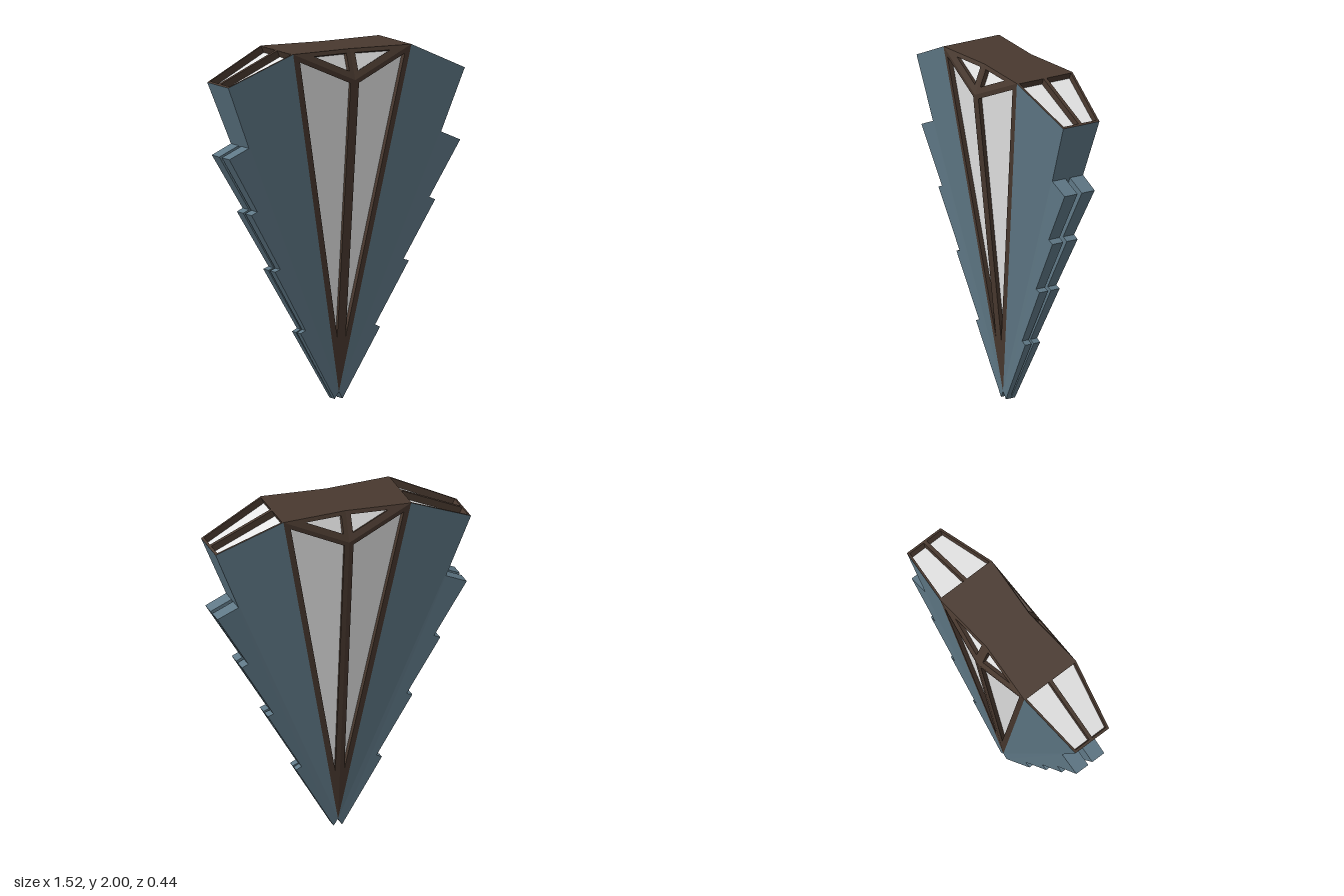
import * as THREE from 'three';

const V = (x, y, z) => new THREE.Vector3(x, y, z);
const frameMat = new THREE.MeshStandardMaterial({ color: 0x49392f });
const glassMat = new THREE.MeshStandardMaterial({ color: 0xe6e6e6 });
const shellMat = new THREE.MeshStandardMaterial({ color: 0x5f7886 });
frameMat.name = 'dark bronze';
glassMat.name = 'pale glass';
shellMat.name = 'slate blue';

// Mesh from convex polygons of one quarter (+x, +z), mirrored to all four quarters
function quarterMesh(name, polys, material) {
  const pos = [];
  for (const sx of [1, -1]) for (const sz of [1, -1]) {
    for (const p of polys) {
      for (let i = 1; i < p.length - 1; i++) {
        const tri = [p[0], p[i], p[i + 1]];
        if (sx * sz < 0) tri.reverse();
        for (const v of tri) pos.push(v.x * sx, v.y, v.z * sz);
      }
    }
  }
  const geo = new THREE.BufferGeometry();
  geo.setAttribute('position', new THREE.Float32BufferAttribute(pos, 3));
  geo.computeVertexNormals();
  const mesh = new THREE.Mesh(geo, material);
  mesh.name = name;
  return mesh;
}

// Flat frame with its own bar width along each edge, and a recessed pane
function framedPane(name, pts, widths, depth) {
  const n = pts.length;
  const normal = pts[1].clone().sub(pts[0]).cross(pts[2].clone().sub(pts[0])).normalize();
  const dirs = pts.map((p, i) => pts[(i + 1) % n].clone().sub(p).normalize());
  const inner = pts.map((p, i) => {
    const k = (i + n - 1) % n;
    const s = normal.dot(dirs[k].clone().cross(dirs[i]));
    return p.clone().addScaledVector(dirs[k], -widths[i] / s).addScaledVector(dirs[i], widths[k] / s);
  });
  const pane = inner.map(p => p.clone().addScaledVector(normal, -depth));
  const bars = [];
  for (let i = 0; i < n; i++) {
    const j = (i + 1) % n;
    bars.push([pts[i], pts[j], inner[j], inner[i]]);
    bars.push([inner[i], inner[j], pane[j], pane[i]]);
  }
  const group = new THREE.Group();
  group.name = name;
  group.add(quarterMesh(name + 'Frame', bars, frameMat), quarterMesh(name + 'Glass', [pane], glassMat));
  return group;
}

export function createModel() {
  const model = new THREE.Group();
  model.name = 'fanLamp';

  // Key corners of one quarter
  const shoulder = V(0.38, 2, 0.185), shoulderMid = V(0.38, 2, 0);
  const wingTip = V(0.76, 1.83, 0.12), wingTipMid = V(0.76, 1.83, 0);
  const ridge = V(0, 1.83, 0.22), notch = V(0, 2, 0.155);
  const foot = V(0, 0.04, 0.033), footMid = V(0, 0.04, 0);
  const toe = V(0.025, 0, 0.03), toeMid = V(0.025, 0, 0);

  // Glazed centre, skylights under the top plate, and wing tops
  model.add(framedPane('centrePane', [foot, shoulder, ridge], [0.034, 0.027, 0.027], 0.025));
  model.add(framedPane('skylight', [ridge, shoulder, notch], [0.037, 0.024, 0.028], 0.025));
  model.add(framedPane('wingTop', [shoulder, wingTip, wingTipMid, shoulderMid],
    [0.013, 0.015, 0.011, 0.005], 0.04));

  // Top plate with a shallow notch at front and back
  model.add(quarterMesh('topPlate', [[V(0, 2, 0), notch, shoulder, shoulderMid]], frameMat));

  // Wing shell: broad face, outer side and underside
  model.add(quarterMesh('wingShell', [
    [foot, toe, wingTip, shoulder],
    [toe, toeMid, wingTipMid, wingTip],
    [foot, footMid, toeMid, toe],
  ], shellMat));

  // Stepped feathers along the outer side, in two rows with a groove between
  const edgeX = y => 0.025 + y * 0.735 / 1.83;
  const at = (x, y, outer) => V(x, y, outer ? 0.03 + y * 0.09 / 1.83 : 0.003 + 0.008 * y);
  const feathers = [ // inner y, outer x, outer y, lower y
    [1.475, 0.742, 1.42, 0.70],
    [1.14, 0.59, 1.09, 0.45],
    [0.785, 0.43, 0.755, 0.22],
    [0.42, 0.255, 0.39, 0],
  ];
  feathers.forEach(([iy, ox, oy, ey], k) => {
    const corners = [[edgeX(ey), ey], [ox, oy], [edgeX(iy), iy]];
    const [e, o, i] = corners.map(c => at(...c, true));
    const [eg, og, ig] = corners.map(c => at(...c, false));
    model.add(quarterMesh('feather' + (k + 1), [
      [e, o, i], [ig, og, eg], [e, eg, og, o], [i, o, og, ig],
    ], shellMat));
  });

  return model;
}
